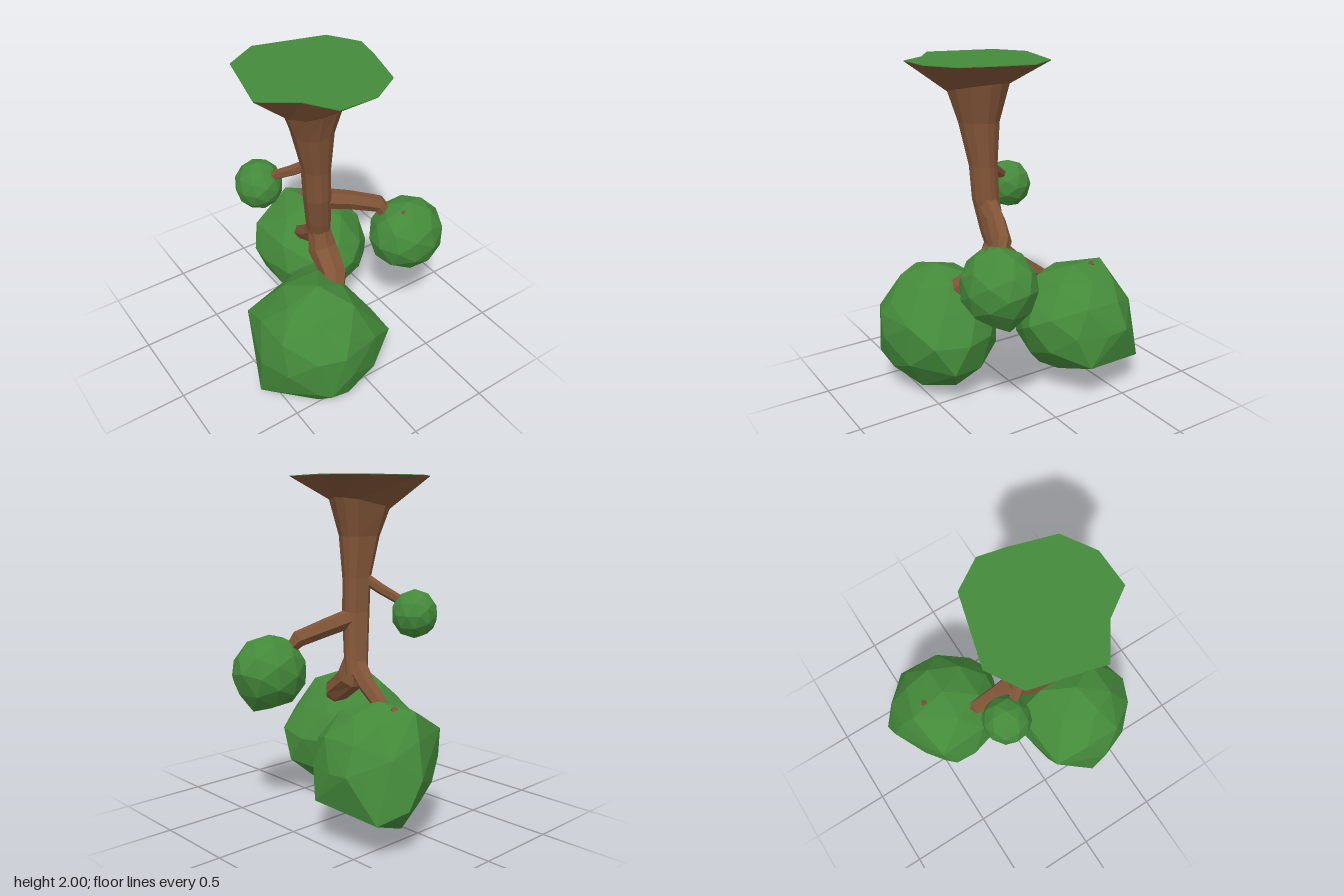
import * as THREE from 'three';
import { ConvexGeometry } from 'three/addons/geometries/ConvexGeometry.js';

const V = (x, y, z) => new THREE.Vector3(x, y, z);

// Skin a series of equal-length rings, counter-clockwise about the travel direction
function loft(rings) {
  const pos = [];
  for (let k = 0; k < rings.length - 1; k++) {
    const a = rings[k], b = rings[k + 1], n = a.length;
    for (let i = 0; i < n; i++) {
      const j = (i + 1) % n;
      for (const p of [a[i], a[j], b[j], a[i], b[j], b[i]]) pos.push(p.x, p.y, p.z);
    }
  }
  const g = new THREE.BufferGeometry();
  g.setAttribute('position', new THREE.Float32BufferAttribute(pos, 3));
  g.computeVertexNormals();
  return g;
}

// Faceted branch through [x, y, z, radius] stations, closed at both ends
function limb(stations, sides = 6) {
  const pts = stations.map(s => V(s[0], s[1], s[2]));
  const rings = pts.map((p, k) => {
    const t = pts[Math.min(k + 1, pts.length - 1)].clone().sub(pts[Math.max(k - 1, 0)]).normalize();
    const u = V(0.9, 0.1, -0.42).cross(t).normalize();
    const v = t.clone().cross(u);
    return Array.from({ length: sides }, (_, i) => {
      const a = (i / sides) * Math.PI * 2, r = stations[k][3];
      return p.clone().addScaledVector(u, Math.cos(a) * r).addScaledVector(v, Math.sin(a) * r);
    });
  });
  const point = p => Array(sides).fill(p);
  return loft([point(pts[0]), ...rings, point(pts[pts.length - 1])]);
}

// Faceted leaf clump: ellipsoid points, flattened by cut planes, plus protruding corners
function clump(c, r, corners, cuts = [], turn = 0) {
  const p = new THREE.IcosahedronGeometry(1, 1).rotateY(turn).attributes.position;
  const seen = new Map();
  for (let i = 0; i < p.count; i++) {
    const q = V(c[0] + p.getX(i) * r[0], c[1] + p.getY(i) * r[1], c[2] + p.getZ(i) * r[2]);
    for (const [nx, ny, nz, d] of cuts) {
      const n = V(nx, ny, nz);
      q.addScaledVector(n, -Math.max(0, q.dot(n) - d));
    }
    seen.set(q.toArray().map(k => k.toFixed(4)).join(), q);
  }
  return new ConvexGeometry([...seen.values(), ...corners.map(k => V(...k))]);
}

export function createModel() {
  const root = new THREE.Group();
  root.name = 'upturnedTree';
  const bark = new THREE.MeshStandardMaterial({ color: 0x815437, flatShading: true });
  bark.name = 'barkBrown';
  const leaf = new THREE.MeshStandardMaterial({ color: 0x448a3a, flatShading: true });
  leaf.name = 'leafGreen';
  const add = (name, geo, mat) => {
    const m = new THREE.Mesh(geo, mat);
    m.name = name;
    root.add(m);
  };

  // Irregular rim at the top of the flared trunk, as [x, z]
  const rim = [[-0.43, -0.17], [-0.53, 0.23], [-0.345, 0.36], [-0.24, 0.52], [-0.02, 0.52],
    [0.16, 0.41], [0.235, 0.16], [0.27, 0], [0.16, -0.17], [-0.24, -0.28]];
  const rimRing = y => rim.map(([x, z]) => V(x, y, z));

  // Trunk stations: y, centre x, centre z, radius, sideways tilt
  const trunk = [[0.84, -0.03, 0.04, 0.07, 0], [1.0, -0.06, 0.075, 0.075, 0], [1.2, -0.088, 0.105, 0.082, 0],
    [1.4, -0.1, 0.112, 0.085, 0], [1.65, -0.13, 0.12, 0.122, 0], [1.835, -0.13, 0.12, 0.18, 0.04]];
  const rings = trunk.map(([y, cx, cz, r, tilt]) => rim.map(([x, z]) => {
    const a = Math.atan2(z - 0.12, x + 0.13);
    return V(cx + Math.cos(a) * r, y + Math.cos(a) * tilt, cz + Math.sin(a) * r);
  }));
  add('trunk', loft([rim.map(() => V(-0.03, 0.82, 0.04)), ...rings, rimRing(1.996)]), bark);
  add('grassCap', loft([rimRing(1.996), rimRing(2), rim.map(() => V(-0.13, 2, 0.12))]), leaf);

  // Branches
  add('frontBranch', limb([[-0.05, 0.96, 0.06, 0.06], [-0.045, 0.8, 0.1, 0.088],
    [-0.06, 0.7, 0.24, 0.08], [-0.16, 0.6, 0.37, 0.06]], 7), bark);
  add('backBranch', limb([[-0.04, 0.9, 0.05, 0.06], [-0.02, 0.79, -0.06, 0.055],
    [0.005, 0.69, -0.21, 0.045], [0.1, 0.6, -0.34, 0.04], [0.185, 0.755, -0.49, 0.02]]), bark);
  add('sideBranch', limb([[-0.07, 1.17, 0.1, 0.06], [0.1, 1.12, 0.15, 0.055],
    [0.27, 1.06, 0.215, 0.05], [0.32, 0.98, 0.27, 0.04], [0.34, 1.062, 0.37, 0.014]]), bark);
  add('upperBranch', limb([[-0.12, 1.41, 0.08, 0.035], [-0.18, 1.34, -0.01, 0.032],
    [-0.24, 1.28, -0.1, 0.03], [-0.28, 1.22, -0.16, 0.02]]), bark);

  // Leaf clumps
  add('frontClump', clump([-0.25, 0.395, 0.355], [0.39, 0.395, 0.365], [
    [-0.625, 0.1, 0.3], [0.145, 0.24, 0.46], [0.11, 0.42, 0.57], [-0.4, 0.1, 0.08],
    [-0.54, 0.5, 0.04], [-0.15, 0.6, 0.0], [-0.44, 0.74, 0.4], [-0.3, 0.53, 0.71],
    [-0.38, 0.25, 0.69], [-0.27, 0.003, 0.45], [-0.3, 0.02, 0.2]],
  [[0.8, 0.6, 0, 0.36], [-0.707, 0, 0.707, 0.782], [0.707, 0, -0.707, -0.072]]), leaf);
  add('backClump', clump([0.175, 0.44, -0.35], [0.36, 0.33, 0.365], [
    [0.13, 0.75, -0.59], [0.34, 0.7, -0.52], [-0.13, 0.6, -0.54], [0.32, 0.28, -0.73],
    [0.21, 0.42, -0.72], [0.53, 0.26, -0.23], [0.535, 0.45, -0.48], [0.46, 0.21, -0.635],
    [0.22, 0.115, -0.58], [0.1, 0.135, -0.16], [0.25, 0.48, 0.02], [-0.18, 0.45, -0.48]],
  [[-0.49, 0, -0.87, 0.525]]), leaf);
  add('sideClump', clump([0.4, 0.865, 0.325], [0.23, 0.222, 0.213], [
    [0.52, 0.645, 0.33], [0.37, 0.645, 0.36], [0.24, 1.03, 0.33], [0.635, 0.89, 0.28]], [], 0.2), leaf);
  add('upperClump', clump([-0.295, 1.195, -0.183], [0.14, 0.147, 0.14], [], [], 0.4), leaf);

  return root;
}
